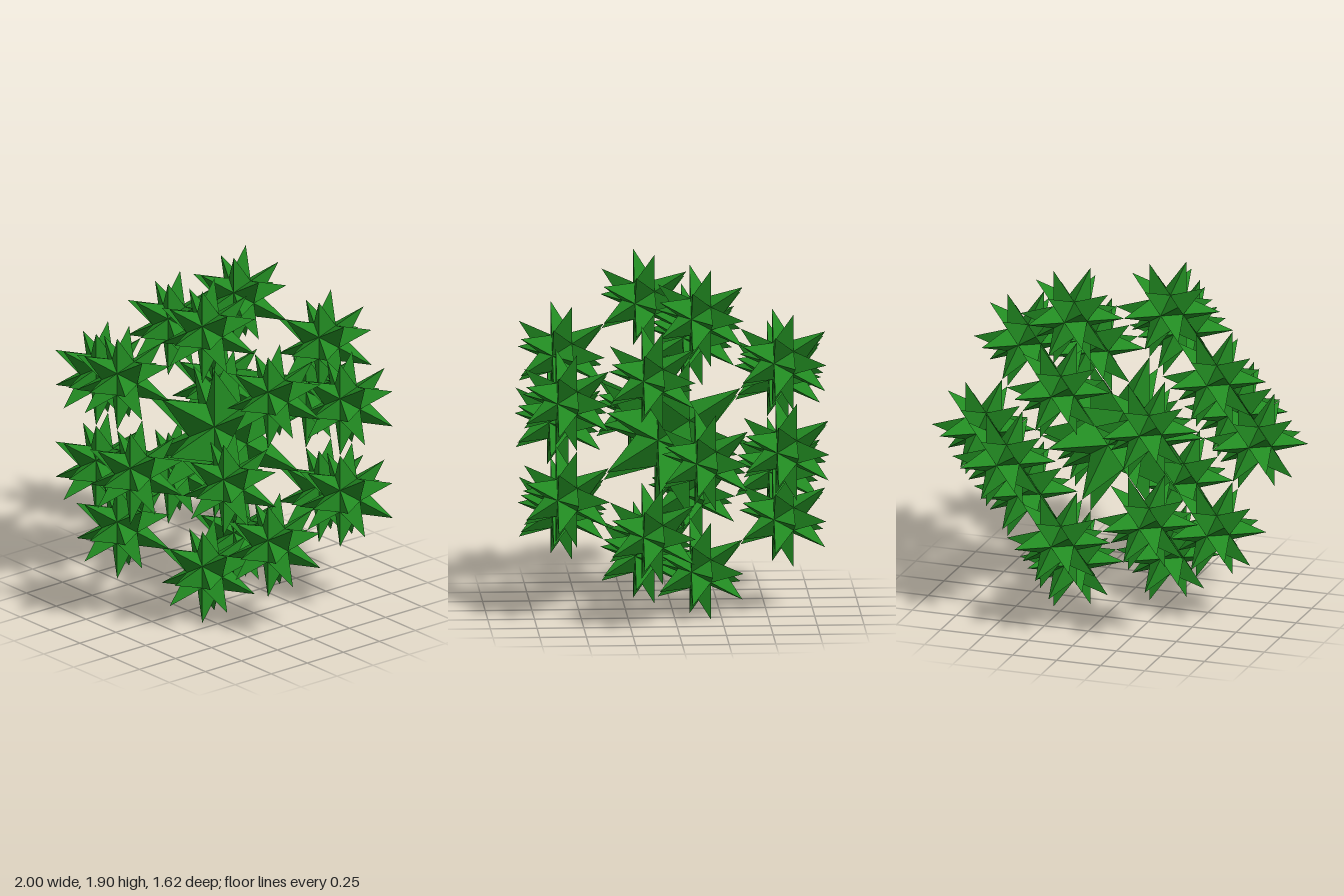
import * as THREE from 'three';

const SIZE = 1.0181;                    // centre to outermost tips
const SMALL = 1 / (2 + (1 + Math.sqrt(5)) / 2); // scale at which neighbouring stars touch
const CORE = 0.4195;                    // icosahedral core radius relative to the tips

// The 20 faces of a unit icosahedron with a five-fold axis along z
function icosahedronFaces() {
  const ring = (start, z) => Array.from({ length: 6 }, (_, k) => {
    const a = start + k * Math.PI * 2 / 5;
    return new THREE.Vector3(Math.cos(a) * 2 / Math.sqrt(5), Math.sin(a) * 2 / Math.sqrt(5), z);
  });
  const front = new THREE.Vector3(0, 0, 1), back = new THREE.Vector3(0, 0, -1);
  const u = ring(0, 1 / Math.sqrt(5)), l = ring(Math.PI / 5, -1 / Math.sqrt(5));
  const faces = [];
  for (let k = 0; k < 5; k++) {
    faces.push([front, u[k], u[k + 1]], [u[k], l[k], u[k + 1]],
      [l[k], l[k + 1], u[k + 1]], [back, l[k + 1], l[k]]);
  }
  return faces;
}

// Spike direction above the middle of a face
const spikeTip = ([a, b, c]) => a.clone().add(b).add(c).normalize();

// Star of unit radius: a three-sided spike on every core face
function starGeometry(faces) {
  const points = [];
  for (const face of faces) {
    const tip = spikeTip(face);
    for (let i = 0; i < 3; i++) {
      points.push(face[i].clone().multiplyScalar(CORE),
        face[(i + 1) % 3].clone().multiplyScalar(CORE), tip);
    }
  }
  const geometry = new THREE.BufferGeometry().setFromPoints(points);
  geometry.computeVertexNormals();
  return geometry;
}

export function createModel() {
  const group = new THREE.Group();
  group.name = 'starCluster';
  const faces = icosahedronFaces();
  const geometry = starGeometry(faces);
  const material = new THREE.MeshStandardMaterial({ color: 0x228b22, flatShading: true });
  const centre = new THREE.Vector3(0, SIZE * 0.98225 * Math.sin(Math.PI * 0.4), 0);

  const addStar = (name, offset, radius) => {
    const star = new THREE.Mesh(geometry, material);
    star.name = name;
    star.position.copy(centre).add(offset);
    star.scale.setScalar(radius);
    group.add(star);
  };

  // Large star in the middle
  addStar('centralStar', new THREE.Vector3(), SIZE * (1 - 2 * SMALL));

  // Small stars around it, one in each spike direction
  faces.forEach((face, i) => {
    addStar(`outerStar${i + 1}`, spikeTip(face).multiplyScalar(SIZE * (1 - SMALL)), SIZE * SMALL);
  });
  return group;
}
